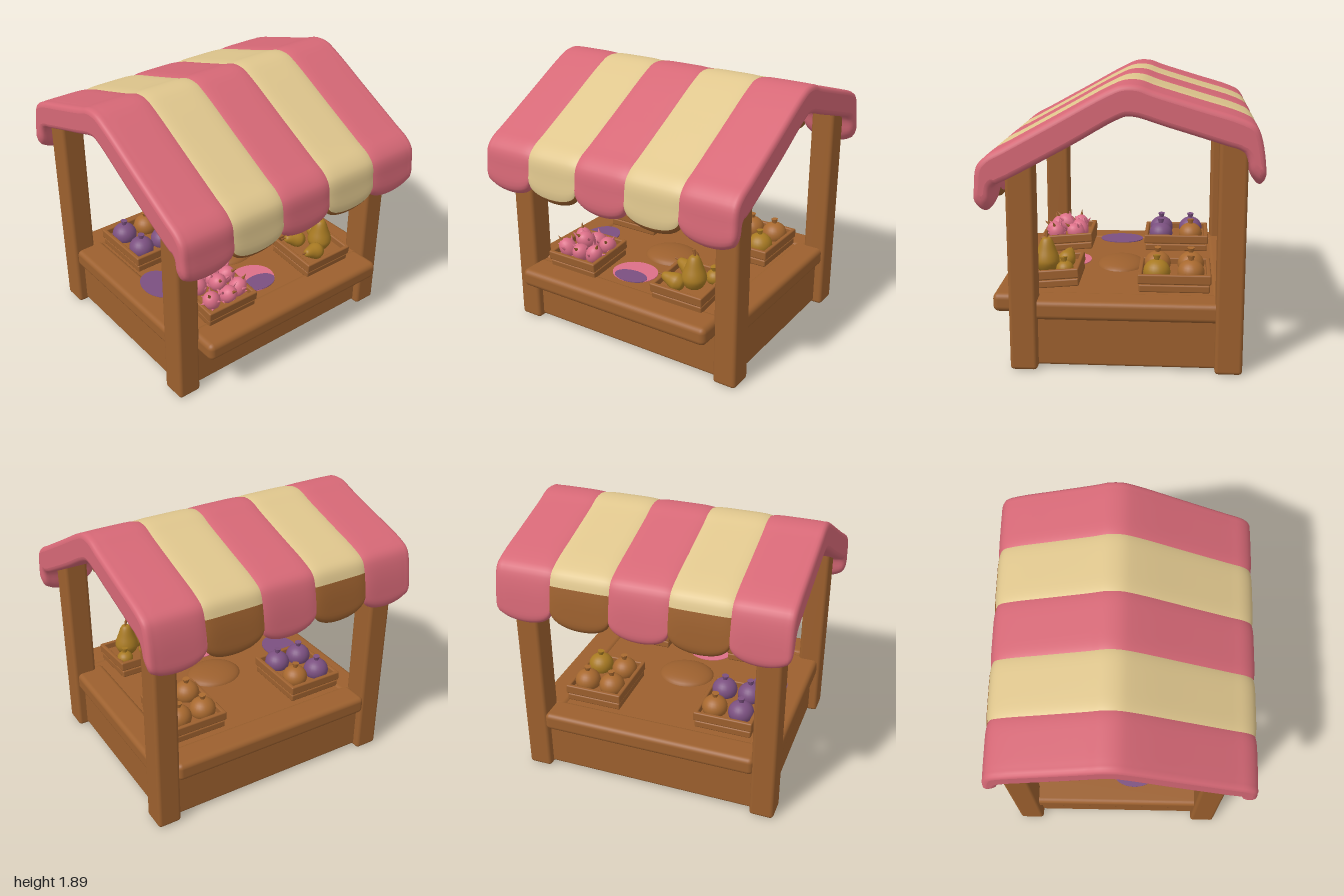
import * as THREE from 'three';
import { RoundedBoxGeometry } from 'three/addons/geometries/RoundedBoxGeometry.js';

const mat = (name, color) => Object.assign(new THREE.MeshStandardMaterial({ color }), { name });

// Closed awning section as [z, y]: front tip, over the ridge, back tip, then the underside
const SECTION = [
  [0.85, 1.065], [0.9, 1.11], [0.9, 1.25], [0.885, 1.37], [0.83, 1.435], [0.72, 1.495], [0.4, 1.67],
  [0.08, 1.845], [-0.02, 1.885], [-0.12, 1.885], [-0.22, 1.85], [-0.5, 1.765], [-0.76, 1.685],
  [-0.84, 1.64], [-0.875, 1.56], [-0.9, 1.38], [-0.9, 1.29], [-0.87, 1.26], [-0.815, 1.32],
  [-0.785, 1.44], [-0.75, 1.49], [-0.66, 1.52], [-0.3, 1.63], [-0.07, 1.695], [0, 1.675],
  [0.3, 1.505], [0.68, 1.3], [0.77, 1.255], [0.795, 1.22], [0.81, 1.11],
];
const SUB = 4;
const curve = new THREE.CatmullRomCurve3(SECTION.map(([z, y]) => new THREE.Vector3(0, y, z)), true);
const COUNT = SECTION.length * SUB;
const LOOP = Array.from({ length: COUNT }, (_, i) => ({ p: curve.getPoint(i / COUNT), t: curve.getTangent(i / COUNT) }));

// Section point at x, with scalloped hems and softened stripe edges
function awningPoint(j, x, u) {
  const { p, t } = LOOP[j % COUNT];
  const d = 1 - Math.abs(x), r = 0.035;
  const inset = d < r ? r - Math.sqrt(Math.max(0, r * r - (r - d) ** 2)) : 0.01 * u ** 6;
  const z = p.z - t.y * inset;
  let y = p.y + t.z * inset;
  const lift = 0.095 * (1 - Math.sqrt(Math.max(0, 1 - u * u)));
  const [bend, tip] = p.z > 0 ? [1.3, 1.065] : [1.5, 1.26];
  if (Math.abs(p.z) > 0.76) y += lift * THREE.MathUtils.clamp((bend - p.y) / (bend - tip), 0, 1);
  return [x, y, z];
}

// Surface of one stripe between two section corners
function awningSurface(x0, x1, from, to) {
  const steps = 18, n = (to - from) * SUB, pos = [], idx = [];
  for (let i = 0; i <= steps; i++) {
    const u = Math.sin((i / steps - 0.5) * Math.PI);
    const x = (x0 + x1) / 2 + (u * (x1 - x0)) / 2;
    for (let j = 0; j <= n; j++) pos.push(...awningPoint(from * SUB + j, x, u));
  }
  for (let i = 0; i < steps; i++) for (let j = 0; j < n; j++) {
    const a = i * (n + 1) + j, b = a + n + 1;
    idx.push(a, b, a + 1, b, b + 1, a + 1);
  }
  const g = new THREE.BufferGeometry();
  g.setAttribute('position', new THREE.Float32BufferAttribute(pos, 3));
  g.setIndex(idx);
  g.computeVertexNormals();
  return g;
}

// Flat gable closing the awning at x = ±1
function awningEnd(side) {
  const pts = LOOP.map((_, j) => awningPoint(j, side, side));
  const shape = new THREE.Shape(pts.map(([, y, z]) => new THREE.Vector2(-z * side, y)));
  return new THREE.ShapeGeometry(shape).rotateY((side * Math.PI) / 2).translate(side, 0, 0);
}

export function createModel() {
  const M = {
    wood: mat('wood', 0x9c602e), pink: mat('awning pink', 0xd66876), cream: mat('awning cream', 0xdfc68d),
    gold: mat('golden fruit', 0xa87a22), purple: mat('purple fruit', 0x7b5080),
    rose: mat('rose fruit', 0xdc6f88), orange: mat('orange fruit', 0xa8692f),
  };
  const model = new THREE.Group();
  const add = (parent, name, geo, material, x = 0, y = 0, z = 0) => {
    const m = new THREE.Mesh(geo, material);
    m.name = name;
    m.position.set(x, y, z);
    parent.add(m);
    return m;
  };
  // Rounded box given by its min and max corners
  const beam = (parent, name, a, b, r) => add(parent, name,
    new RoundedBoxGeometry(b[0] - a[0], b[1] - a[1], b[2] - a[2], 3, r), M.wood,
    (a[0] + b[0]) / 2, (a[1] + b[1]) / 2, (a[2] + b[2]) / 2);

  // Awning stripes
  const roof = new THREE.Group();
  roof.name = 'awning';
  model.add(roof);
  const edges = [-1, -0.61, -0.21, 0.19, 0.6, 1];
  for (let s = 0; s < 5; s++) {
    const [x0, x1] = [edges[s], edges[s + 1]];
    const part = (name, from, to, m) => add(roof, name, awningSurface(x0, x1, from, to), m);
    if (s % 2 === 0) part('pinkStripe', 0, 30, M.pink);
    else {
      part('creamStripe', 1, 14, M.cream);
      part('backHem', 14, 18, M.wood);
      part('stripeUnderside', 18, 29, M.pink);
      part('frontHemEdge', 29, 31, M.wood);
    }
  }
  for (const side of [-1, 1]) add(roof, 'awningEnd', awningEnd(side), M.pink);

  // Posts, base and counter
  for (const s of [-1, 1]) {
    const [l, r] = s < 0 ? [-0.925, -0.755] : [0.755, 0.925];
    beam(model, 'frontPost', [l, 0, 0.54], [r, 1.4, 0.72], 0.025);
    beam(model, 'backPost', [l, 0, -0.8], [r, 1.57, -0.62], 0.025);
    beam(model, 'sideCounter', [s < 0 ? -0.9 : 0.68, 0.34, -0.66], [s < 0 ? -0.68 : 0.9, 0.47, 0.6], 0.035);
  }
  beam(model, 'base', [-0.86, 0.015, -0.75], [0.86, 0.4, 0.67], 0.02);
  beam(model, 'counterFloor', [-0.8, 0.34, -0.72], [0.8, 0.458, 0.66], 0.01);
  beam(model, 'frontCounter', [-0.77, 0.34, 0.62], [0.77, 0.47, 0.86], 0.04);
  beam(model, 'backCounter', [-0.77, 0.34, -0.81], [0.77, 0.47, -0.6], 0.035);
  add(model, 'counterMound', new THREE.SphereGeometry(1, 32, 16), M.wood, 0, 0.45, 0.05).scale.set(0.21, 0.062, 0.18);

  // Stained cloth patches lying on the counter
  const patch = (name, m, x, y, z, w, d) =>
    add(model, name, new THREE.CylinderGeometry(1, 1, 0.006, 32), m, x, y, z).scale.set(w, 1, d);
  patch('pinkPatch', M.rose, -0.07, 0.46, 0.43, 0.17, 0.15);
  patch('purplePatch', M.purple, -0.06, 0.463, 0.5, 0.13, 0.08);
  patch('purplePatch', M.purple, -0.64, 0.47, 0.09, 0.13, 0.17);

  // Open slatted crate, origin at the middle of its bottom
  const crate = (name, x, y, z, w, d, tilt = 0) => {
    const g = new THREE.Group();
    g.name = name;
    g.position.set(x, y, z);
    g.rotation.x = tilt;
    model.add(g);
    const W = w / 2, D = d / 2, t = 0.03;
    beam(g, 'crateFill', [-W + 0.02, 0, -D + 0.02], [W - 0.02, 0.08, D - 0.02], 0.01);
    for (const [lo, hi, o] of [[0, 0.052, -0.008], [0.058, 0.125, 0]]) for (const s of [-1, 1]) {
      const zc = s * (D + o - t / 2), xc = s * (W + o - t / 2);
      beam(g, 'crateSlat', [-W - o, lo, zc - t / 2], [W + o, hi, zc + t / 2], 0.01);
      beam(g, 'crateSlat', [xc - t / 2, lo, -D - o], [xc + t / 2, hi, D + o], 0.01);
    }
    return g;
  };

  // Round fruit with a small flared crown
  const roundFruit = (g, m, x, z, r, y = 0.115) => {
    add(g, 'fruit', new THREE.SphereGeometry(r, 24, 16), m, x, y, z).scale.y = 0.92;
    add(g, 'fruitCrown', new THREE.CylinderGeometry(0.026, 0.012, 0.045, 8), m, x, y + r, z).rotation.z = x;
  };

  // Spiky fruit: an egg with a few leaf-like points
  const spikyFruit = (g, x, z, y, turn) => {
    const f = new THREE.Group();
    f.name = 'spikyFruit';
    f.position.set(x, y, z);
    f.rotation.set(0.3, turn, 0.5);
    g.add(f);
    add(f, 'fruit', new THREE.SphereGeometry(0.062, 20, 14), M.rose).scale.y = 1.25;
    for (let i = 0; i < 6; i++) {
      const a = (i * Math.PI) / 3, up = i % 2 ? 0.035 : -0.01;
      const spike = add(f, 'fruitSpike', new THREE.ConeGeometry(0.018, 0.06, 6), M.rose,
        Math.cos(a) * 0.06, up, Math.sin(a) * 0.06);
      spike.rotation.set(Math.sin(a) * 0.7, 0, -Math.cos(a) * 0.7);
    }
    add(f, 'fruitStem', new THREE.ConeGeometry(0.016, 0.06, 6), M.wood, 0, 0.09, 0);
  };

  // Pear turned from a profile
  const pearProfile = [[0, -0.08], [0.05, -0.07], [0.08, -0.02], [0.078, 0.02], [0.06, 0.07], [0.042, 0.12], [0.025, 0.145], [0, 0.15]];
  const pearCurve = new THREE.SplineCurve(pearProfile.map(([x, y]) => new THREE.Vector2(x, y)));
  const pear = (g, x, y, z, rx, rz, size) => {
    const f = add(g, 'pear', new THREE.LatheGeometry(pearCurve.getPoints(24).map((p) => p.setX(Math.max(0, p.x))), 24), M.gold, x, y, z);
    f.rotation.set(rx, 0, rz);
    f.scale.setScalar(size);
    add(f, 'pearStem', new THREE.CylinderGeometry(0.01, 0.007, 0.05, 8), M.wood, 0, 0.165, 0).rotation.z = 0.25;
  };

  // Front crates lean towards the customer
  const rose = crate('roseFruitCrate', -0.445, 0.475, 0.485, 0.41, 0.4, 0.09);
  [[-0.11, 0.09], [0.02, 0.1], [0.12, 0.08], [-0.1, -0.08], [0.03, -0.09], [0.13, -0.07]].forEach(
    ([x, z], i) => spikyFruit(rose, x, z, 0.125, i * 1.7));
  spikyFruit(rose, 0, 0.01, 0.175, 1);

  const pears = crate('pearCrate', 0.44, 0.475, 0.485, 0.41, 0.4, 0.09);
  pear(pears, 0.05, 0.16, 0.03, -0.09, 0, 1.06);
  pear(pears, -0.05, 0.13, 0.1, 0.2, 1.3, 0.75);
  pear(pears, -0.06, 0.12, -0.09, -0.5, 1.2, 0.75);
  roundFruit(pears, M.gold, 0.13, -0.1, 0.06, 0.11);

  // Back crates
  const oranges = crate('orangeCrate', 0.485, 0.475, -0.35, 0.42, 0.49);
  const plums = crate('purpleFruitCrate', -0.485, 0.475, -0.35, 0.42, 0.49);
  for (const x of [-0.095, 0.095]) for (const z of [-0.11, 0.12]) {
    roundFruit(oranges, x > 0 && z > 0 ? M.gold : M.orange, x, z, 0.092);
    roundFruit(plums, x > 0 && z < 0 ? M.orange : M.purple, x, z, 0.09);
  }
  return model;
}
